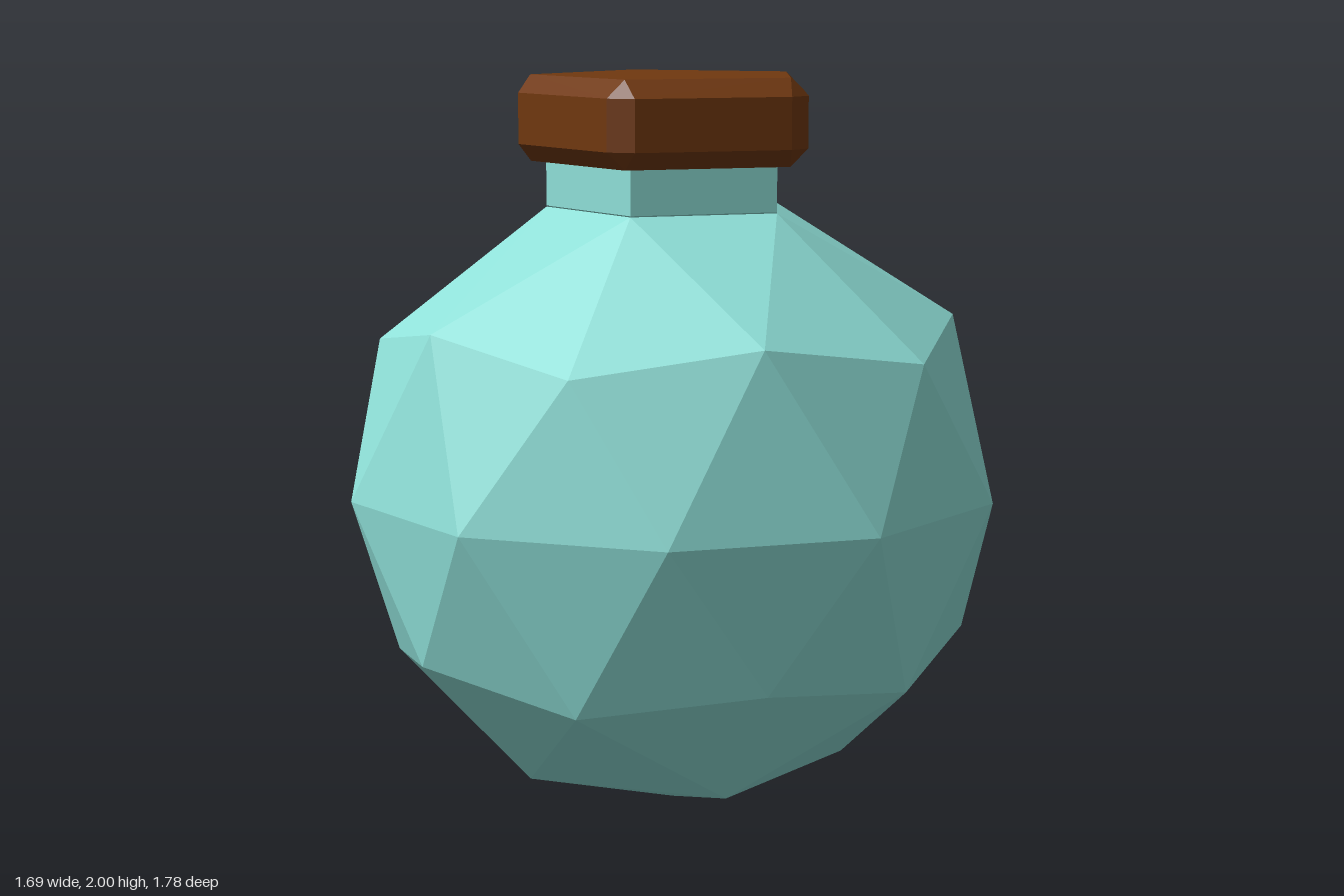
import * as THREE from 'three';
import { ConvexGeometry } from 'three/addons/geometries/ConvexGeometry.js';

const RADIUS = 0.89, CENTRE_Y = 0.89, NECK_R = 0.34, NECK_Y = 1.65;

// Point at an angle (degrees) around the vertical axis
function polar(deg, r, y) {
  const a = THREE.MathUtils.degToRad(deg);
  return new THREE.Vector3(r * Math.cos(a), y, r * Math.sin(a));
}

// Faceted globe: two five-fold halves, the lower one turned by 36 degrees;
// the upper one stays open where the neck joins
function bodyGeometry() {
  const positions = [];
  const half = (sign, turn, tipR, closed) => {
    const at = (deg, r, h) => polar(deg + turn, r, CENTRE_Y + sign * h * RADIUS);
    const tri = (a, b, c) => {
      for (const p of sign > 0 ? [a, b, c] : [a, c, b]) positions.push(p.x, p.y, p.z);
    };
    const tip = (k) => at(72 * k, tipR, 0.8507);
    const corner = (k) => at(72 * k, 0.8944 * RADIUS, 0.4472);
    const mid = (k) => at(72 * k + 36, 0.8507 * RADIUS, 0.5257);
    const equator = (deg) => at(deg, RADIUS, 0);
    for (let k = 0; k < 5; k++) {
      const a = 72 * k;
      tri(tip(k), tip(k + 1), mid(k));
      tri(tip(k), mid(k), corner(k));
      tri(tip(k), corner(k), mid(k - 1));
      tri(corner(k), equator(a + 18), equator(a - 18));
      tri(corner(k), mid(k), equator(a + 18));
      tri(mid(k), equator(a + 54), equator(a + 18));
      tri(mid(k), corner(k + 1), equator(a + 54));
      if (closed) tri(at(0, 0, 1), tip(k + 1), tip(k));
    }
  };
  half(1, 0, NECK_R, false);
  half(-1, 36, 0.5257 * RADIUS, true);
  const geometry = new THREE.BufferGeometry();
  geometry.setAttribute('position', new THREE.Float32BufferAttribute(positions, 3));
  geometry.computeVertexNormals();
  return geometry;
}

// Pentagonal stopper with every edge chamfered
function stopperGeometry(bottom, top, apothem, bevel) {
  const c = Math.cos(Math.PI / 5);
  const outer = apothem / c, inner = (apothem - bevel) / c;
  const points = [];
  for (let k = 0; k < 5; k++) {
    const a = 72 * k;
    for (const y of [bottom, top]) points.push(polar(a, inner, y));
    for (const y of [bottom + bevel, top - bevel]) {
      const p = polar(a, outer, y);
      for (const side of [-72, 72]) {
        const dir = polar(a + side, outer, y).sub(p).normalize();
        points.push(p.clone().addScaledVector(dir, bevel));
      }
    }
  }
  return new ConvexGeometry(points);
}

export function createModel() {
  const group = new THREE.Group();
  group.name = 'potionBottle';
  const glass = new THREE.MeshStandardMaterial({ color: 0x8fe0d8, flatShading: true, side: THREE.DoubleSide });
  const cork = new THREE.MeshStandardMaterial({ color: 0x70380f, flatShading: true });
  const add = (name, geometry, material) => {
    const mesh = new THREE.Mesh(geometry, material);
    mesh.name = name;
    group.add(mesh);
    return mesh;
  };

  add('body', bodyGeometry(), glass);

  // Open five-sided neck rising into the stopper
  const neckTop = 1.79;
  const neck = new THREE.CylinderGeometry(NECK_R, NECK_R, neckTop - NECK_Y, 5, 1, true, Math.PI / 2);
  add('neck', neck, glass).position.y = (neckTop + NECK_Y) / 2;

  add('stopper', stopperGeometry(1.77, 2, 0.355, 0.047), cork);
  return group;
}
